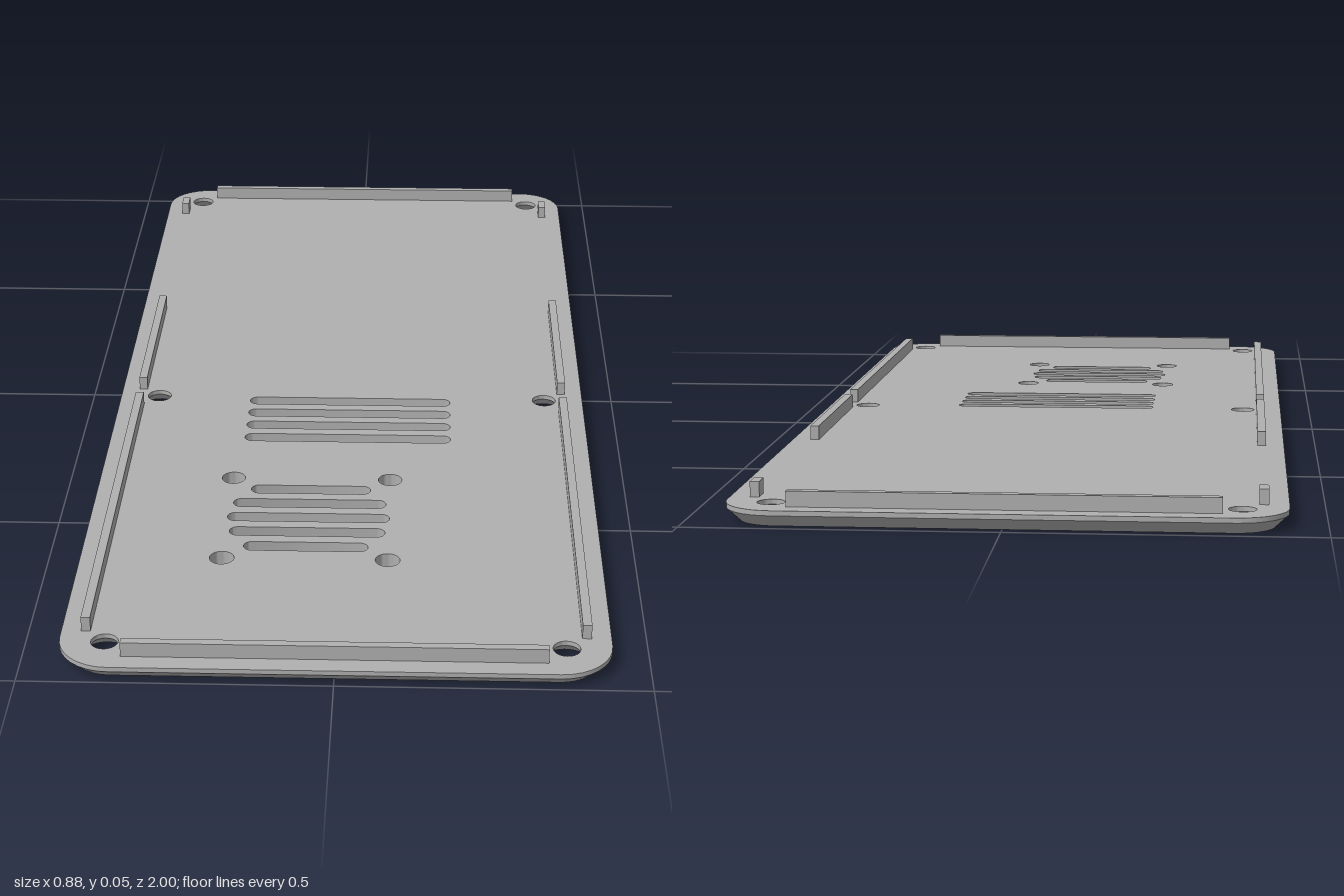
import * as THREE from 'three';
import { toCreasedNormals } from 'three/addons/utils/BufferGeometryUtils.js';

const TOP = 0.028, EDGE = 0.02, RIB_TOP = 0.053;

// Rounded rectangle as [x, z] points; a slot or a circle when the radius fills it
function ring(cx, cz, hx, hz, r, steps = 8) {
  const pts = [];
  [[1, 1], [-1, 1], [-1, -1], [1, -1]].forEach(([sx, sz], q) => {
    for (let i = 0; i <= steps; i++) {
      const a = (q + i / steps) * Math.PI / 2;
      pts.push([cx + sx * (hx - r) + r * Math.cos(a), cz + sz * (hz - r) + r * Math.sin(a)]);
    }
  });
  // drop points that coincide with their neighbour
  return pts.filter((p, i) => {
    const n = pts[(i + 1) % pts.length];
    return Math.hypot(p[0] - n[0], p[1] - n[1]) > 1e-6;
  });
}
const circle = (x, z, r) => ring(x, z, r, r, r);

// Wall through a list of { pts, y } levels; bottom to top faces outward, top to bottom inward
function wall(levels) {
  const pos = [];
  for (let k = 0; k + 1 < levels.length; k++) {
    const a = levels[k], b = levels[k + 1], n = a.pts.length;
    const A = i => [a.pts[i % n][0], a.y, a.pts[i % n][1]];
    const B = i => [b.pts[i % n][0], b.y, b.pts[i % n][1]];
    for (let i = 0; i < n; i++) {
      pos.push(...A(i), ...B(i), ...A(i + 1), ...A(i + 1), ...B(i), ...B(i + 1));
    }
  }
  const geo = new THREE.BufferGeometry();
  geo.setAttribute('position', new THREE.Float32BufferAttribute(pos, 3));
  return toCreasedNormals(geo, 0.5);
}

// Flat face with holes, looking up or down
function cap(outer, holes, y, up) {
  const s = up ? -1 : 1;
  const flat = pts => pts.map(([x, z]) => new THREE.Vector2(x, s * z));
  const shape = new THREE.Shape(flat(outer));
  shape.holes = holes.map(h => new THREE.Path(flat(h)));
  return new THREE.ShapeGeometry(shape).rotateX(s * Math.PI / 2).translate(0, y, 0);
}

export function createModel() {
  const model = new THREE.Group();
  model.name = 'ventedCover';
  const grey = new THREE.MeshStandardMaterial({ color: 0xb0b0b0 });
  grey.name = 'grey plastic';
  const add = (name, geo, parent = model) => {
    const mesh = new THREE.Mesh(geo, grey);
    mesh.name = name;
    parent.add(mesh);
    return mesh;
  };

  // Vent slots and small mounting holes, straight through
  const through = [];
  for (let i = 0; i < 4; i++) through.push(ring(-0.002, 0.07 + i * 0.05, 0.19, 0.0145, 0.0145));
  [0.106, 0.134, 0.141, 0.134, 0.106].forEach((half, i) =>
    through.push(ring(-0.061, 0.418 + i * 0.05, half, 0.0145, 0.0145)));
  for (const x of [-0.201, 0.079]) for (const z of [0.378, 0.659]) through.push(circle(x, z, 0.021));

  // Screw holes, countersunk from below
  const screws = [];
  for (const x of [-0.367, 0.367]) for (const z of [-0.93, 0.055, 0.925]) screws.push([x, z]);
  const narrow = screws.map(([x, z]) => circle(x, z, 0.022));
  const wide = screws.map(([x, z]) => circle(x, z, 0.042));

  // Plate with a chamfered lower edge
  const plate = new THREE.Group();
  plate.name = 'plate';
  model.add(plate);
  const rim = ring(0, 0, 0.44, 1, 0.085);
  const base = ring(0, 0, 0.419, 0.979, 0.064);
  add('plateTop', cap(rim, [...through, ...narrow], TOP, true), plate);
  add('plateBottom', cap(base, [...through, ...wide], 0, false), plate);
  add('plateEdge', wall([{ pts: base, y: 0 }, { pts: rim, y: EDGE }, { pts: rim, y: TOP }]), plate);
  through.forEach(pts => add('ventWall', wall([{ pts, y: TOP }, { pts, y: 0 }]), plate));
  narrow.forEach((pts, i) => add('screwHole',
    wall([{ pts, y: TOP }, { pts, y: EDGE }, { pts: wide[i], y: 0 }]), plate));

  // Locating ribs standing on the plate
  const rib = (name, x0, x1, z0, z1) => {
    const h = RIB_TOP - TOP + 0.002;
    add(name, new THREE.BoxGeometry(x1 - x0, h, z1 - z0))
      .position.set((x0 + x1) / 2, RIB_TOP - h / 2, (z0 + z1) / 2);
  };
  rib('frontRib', -0.337, 0.337, 0.954, 0.968);
  rib('backRib', -0.337, 0.337, -0.968, -0.954);
  for (const [name, z0, z1] of [['frontSideRib', 0.09, 0.895], ['middleSideRib', -0.353, 0.028], ['backSideStub', -0.893, -0.858]]) {
    rib(name + 'Left', 0.393, 0.408, z0, z1);
    rib(name + 'Right', -0.408, -0.393, z0, z1);
  }
  return model;
}
